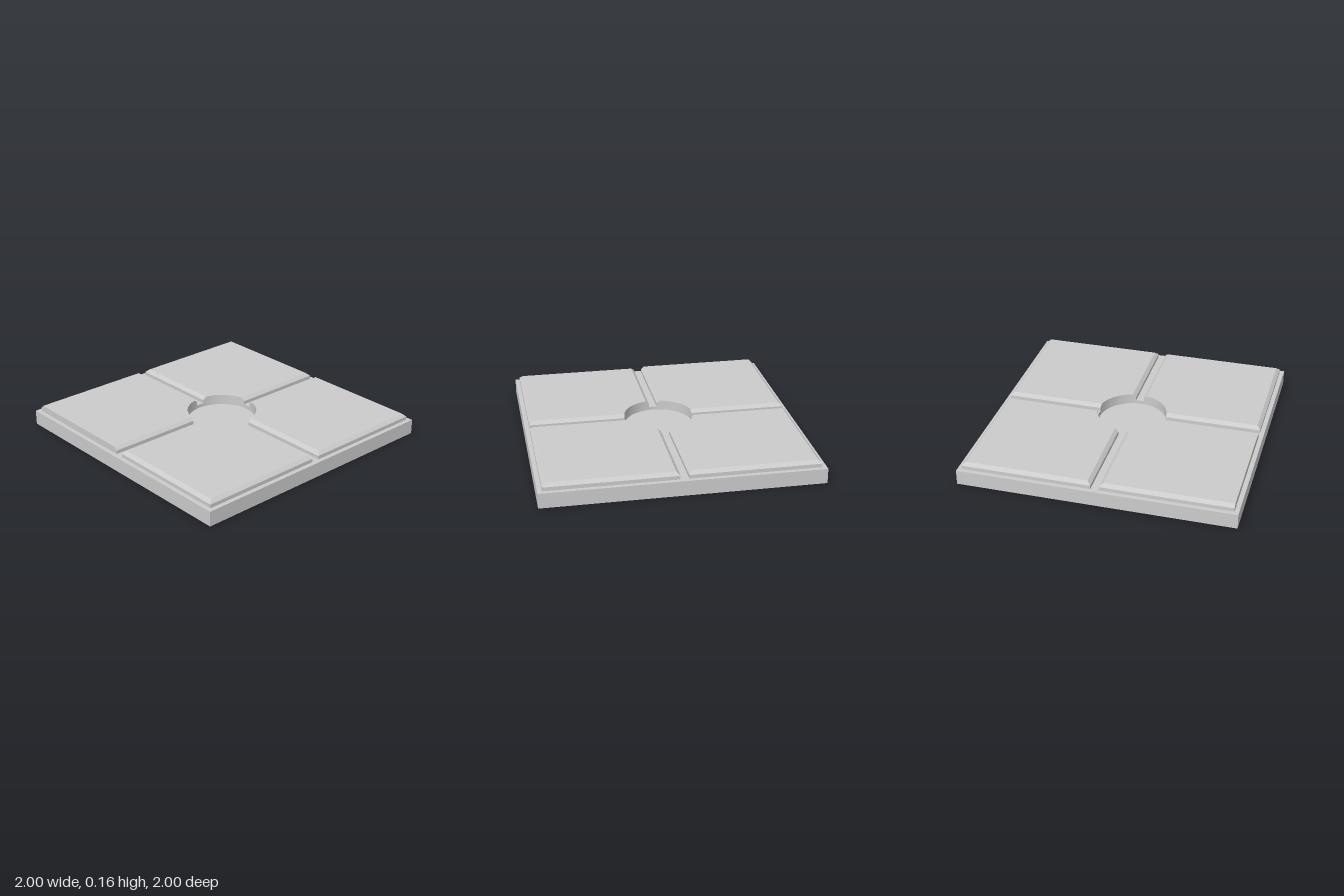
import * as THREE from 'three';
import { toCreasedNormals } from 'three/addons/utils/BufferGeometryUtils.js';

const BASE_H = 0.11, MID_Y = 0.137, TOP_Y = 0.16;
const INNER = 0.03, OUTER = 0.968, BEVEL = 0.025;
const HOLE_R = 0.257, HOLE_Z = 0.005;
const material = new THREE.MeshStandardMaterial({ color: 0xcccccc });

function addMesh(group, name, geometry) {
  const mesh = new THREE.Mesh(geometry, material);
  mesh.name = name;
  group.add(mesh);
  return mesh;
}

// Outline of one quarter panel: a square whose inner corner is cut by the round recess
function panelOutline(sx, sz, inset, frontInset) {
  const e = INNER + inset, x = OUTER - inset, z = OUTER - frontInset;
  const c = HOLE_Z * sz, steps = 8;
  const a0 = Math.asin((e - c) / HOLE_R), a1 = Math.acos(e / HOLE_R);
  const pts = [];
  for (let i = 0; i <= steps; i++) {
    const a = a0 + (a1 - a0) * i / steps;
    pts.push([HOLE_R * Math.cos(a), c + HOLE_R * Math.sin(a)]);
  }
  pts.push([e, z], [x, z], [x, e]);
  const placed = pts.map(([px, pz]) => [px * sx, pz * sz]);
  return sx * sz < 0 ? placed.reverse() : placed;
}

// Panel: upright wall, chamfer, flat top
function panelGeometry(sx, sz, squareOuterEdge) {
  const wall = panelOutline(sx, sz, 0, 0);
  const top = panelOutline(sx, sz, BEVEL, squareOuterEdge ? 0 : BEVEL);
  const rings = [[wall, BASE_H], [wall, MID_Y], [top, TOP_Y]];
  const n = wall.length, positions = [], index = [];
  for (const [ring, y] of rings) for (const [x, z] of ring) positions.push(x, y, z);
  for (let r = 0; r < 2; r++) {
    for (let i = 0; i < n; i++) {
      const a = r * n + i, b = r * n + (i + 1) % n;
      index.push(a, b, b + n, a, b + n, a + n);
    }
  }
  const cap = THREE.ShapeUtils.triangulateShape(top.map(([x, z]) => new THREE.Vector2(x, -z)), []);
  for (const face of cap) index.push(...face.map(i => i + 2 * n));
  const geometry = new THREE.BufferGeometry();
  geometry.setAttribute('position', new THREE.Float32BufferAttribute(positions, 3));
  geometry.setIndex(index);
  return toCreasedNormals(geometry, 0.5);
}

export function createModel() {
  const model = new THREE.Group();
  model.name = 'floorTile';

  // Square slab with a round opening
  const slab = new THREE.Shape([[-1, -1], [1, -1], [1, 1], [-1, 1]].map(p => new THREE.Vector2(...p)));
  slab.holes.push(new THREE.Path().absarc(0, -HOLE_Z, HOLE_R, 0, Math.PI * 2, true));
  const slabGeometry = new THREE.ExtrudeGeometry(slab, { depth: BASE_H, bevelEnabled: false, curveSegments: 16 });
  slabGeometry.rotateX(-Math.PI / 2);
  addMesh(model, 'baseSlab', toCreasedNormals(slabGeometry, 0.5));

  // Four raised panels; the front right one keeps a square front edge
  for (const sx of [-1, 1]) {
    for (const sz of [-1, 1]) {
      const name = (sz > 0 ? 'front' : 'back') + (sx > 0 ? 'Left' : 'Right') + 'Panel';
      addMesh(model, name, panelGeometry(sx, sz, sx < 0 && sz > 0));
    }
  }

  // Sunken disc filling the opening, set slightly forward
  const plugH = 0.085;
  const plug = addMesh(model, 'recessFloor', new THREE.CylinderGeometry(0.254, 0.254, plugH, 32));
  plug.position.set(0, plugH / 2, HOLE_Z + 0.003);

  return model;
}
